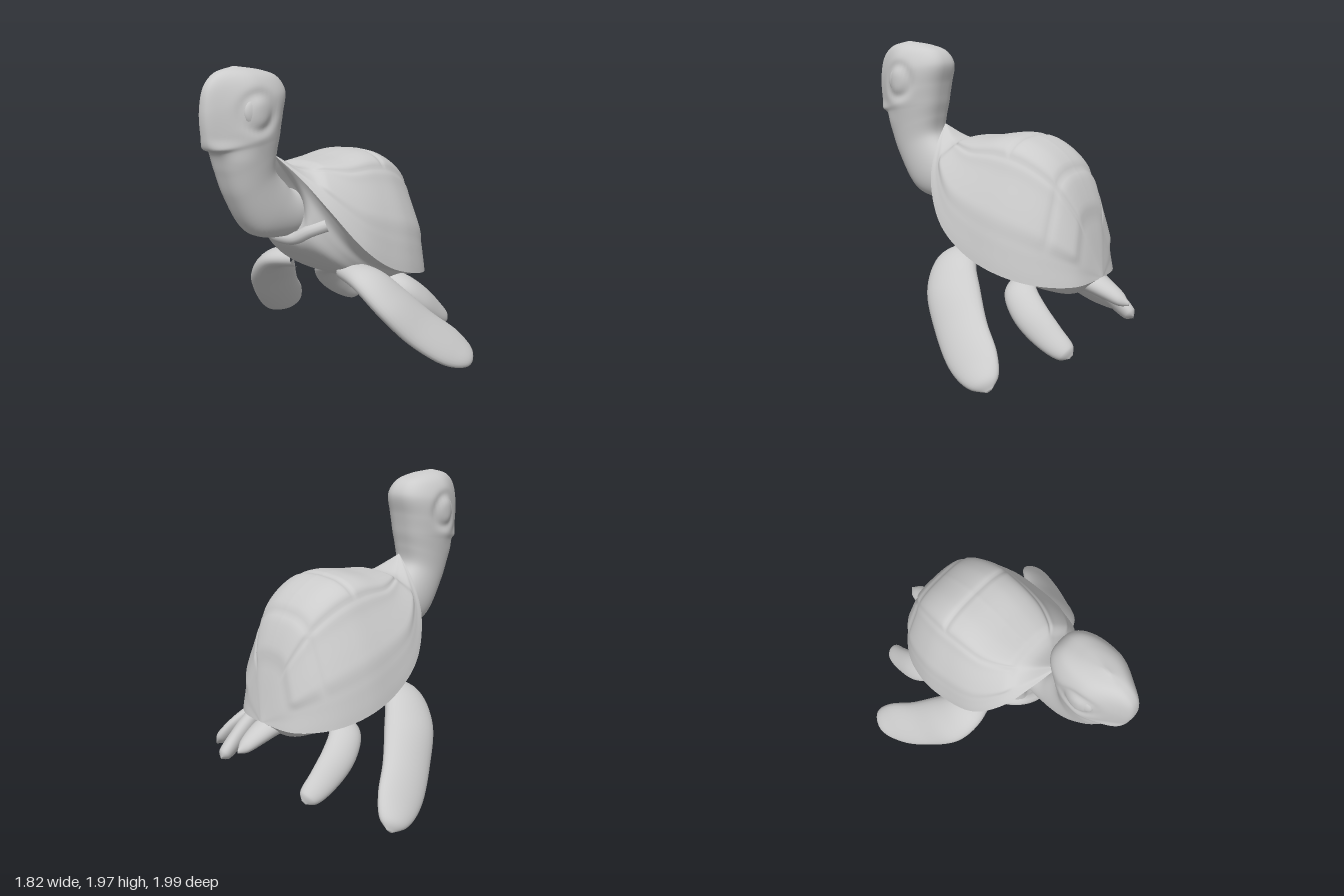
import * as THREE from 'three';
import { mergeVertices } from 'three/addons/utils/BufferGeometryUtils.js';

const material = new THREE.MeshStandardMaterial({ color: 0xcccccc });
const V = (p) => new THREE.Vector3(...p);
const curve = (points) => new THREE.CatmullRomCurve3(points.map(V));
const profile = (points) => new THREE.SplineCurve(points.map((p) => new THREE.Vector2(...p)));
const smooth = (x, a, b) => THREE.MathUtils.smoothstep(x, a, b);
const bump = (d, w) => Math.exp(-(d * d) / (w * w));

// Smooth surface over a grid of u, v in 0..1
function surface(nu, nv, fn) {
  const pos = [], index = [];
  for (let i = 0; i <= nu; i++) {
    for (let j = 0; j <= nv; j++) pos.push(...fn(i / nu, j / nv).toArray());
  }
  for (let i = 0; i < nu; i++) {
    for (let j = 0; j < nv; j++) {
      const a = i * (nv + 1) + j, b = a + nv + 1;
      index.push(a, b, a + 1, b, b + 1, a + 1);
    }
  }
  let geo = new THREE.BufferGeometry();
  geo.setAttribute('position', new THREE.Float32BufferAttribute(pos, 3));
  geo.setIndex(index);
  geo = mergeVertices(geo, 1e-4);
  geo.computeVertexNormals();
  return geo;
}

// Rounded form lofted between two edge curves, with half-thickness per section
function limb(edgeA, edgeB, halves, { power = 1, shape = (p) => p, nu = 40, nv = 28 } = {}) {
  const A = curve(edgeA), B = curve(edgeB);
  const H = curve(halves.map((h, i) => [h, i * 0.1, 0]));
  const mid = (u) => A.getPoint(u).add(B.getPoint(u)).multiplyScalar(0.5);
  return surface(nu, nv, (u, v) => {
    const e = A.getPoint(u).sub(B.getPoint(u)).multiplyScalar(0.5);
    const t = mid(Math.min(1, u + 0.01)).sub(mid(Math.max(0, u - 0.01)));
    const n = e.clone().cross(t).normalize();
    const th = (v % 1) * Math.PI * 2, s = Math.sin(th);
    const k = Math.sign(s) * Math.abs(s) ** power * Math.max(0, H.getPoint(u).x);
    return shape(mid(u).addScaledVector(e, Math.cos(th)).addScaledVector(n, k));
  });
}

// Half of the tilted shell rim, from front to back
const rim = curve([
  [0, 1.43, 0.44], [0.18, 1.29, 0.38], [0.35, 1.09, 0.29], [0.47, 0.85, 0.12], [0.505, 0.69, -0.1],
  [0.5, 0.6, -0.35], [0.42, 0.55, -0.58], [0.25, 0.53, -0.75], [0, 0.54, -0.81],
]);
const backLine = curve([
  [0, 1.43, 0.44], [0, 1.34, 0.28], [0, 1.35, 0.15], [0, 1.365, 0], [0, 1.395, -0.2],
  [0, 1.37, -0.37], [0, 1.24, -0.56], [0, 0.97, -0.7], [0, 0.54, -0.81],
]);
const bellyLine = curve([
  [0, 1.4, 0.42], [0, 1.1, 0.28], [0, 0.87, 0.35], [0, 0.72, 0.21], [0, 0.59, 0],
  [0, 0.52, -0.25], [0, 0.45, -0.5], [0, 0.43, -0.66], [0, 0.53, -0.8],
]);
// Half cross-sections: share of the rim width, share of the way to the centre line
const domeProfile = profile([[1, 0], [0.97, 0.24], [0.81, 0.5], [0.65, 0.72], [0.52, 0.9], [0.3, 0.98], [0, 1]]);
const bellyProfile = profile([[1, 0], [0.87, -0.02], [0.74, 0.08], [0.67, 0.4], [0.56, 0.8], [0.3, 0.97], [0, 1]]);

// Arch from the left rim over a centre line to the right rim
function arch(line, section, u, v) {
  const r = rim.getPoint(u), m = line.getPoint(u);
  const q = section.getPoint(1 - Math.abs(2 * v - 1));
  const x = r.x * q.x * (v < 0.5 ? 1 : -1);
  return new THREE.Vector3(x, r.y + (m.y - r.y) * q.y, r.z + (m.z - r.z) * q.y);
}

// Dome with raised plates and grooves between them
function shellPoint(u, v) {
  const p = arch(backLine, domeProfile, u, v);
  const side = 1 - Math.abs(2 * v - 1);
  const plate = smooth(side, 0.2, 0.3) * smooth(u, 0.17, 0.25) * (1 - smooth(u, 0.86, 0.9));
  const groove = Math.max(
    bump(side - 0.62, 0.03),
    bump(u - 0.56, 0.012) * smooth(side, 0.58, 0.64),
    bump(u - 0.77, 0.012),
  );
  const flange = bump(side - 0.14, 0.08) * Math.sin(Math.PI * u);
  const k = 1 + 0.035 * plate - 0.02 * plate * groove - 0.025 * flange;
  return p.sub(V([0, 0.85, -0.2])).multiplyScalar(k).add(V([0, 0.85, -0.2]));
}

// Head shaping: narrow beak and a shallow socket around each eye
function shapeHead(p) {
  const head = smooth(p.y, 1.42, 1.58);
  p.x *= 1 - 0.5 * head * smooth(p.z, 0.7, 1);
  const d = Math.hypot(p.y - 1.72, p.z - 0.71);
  p.x *= 1 - 0.09 * bump(d - 0.105, 0.035);
  return p;
}

export function createModel() {
  const model = new THREE.Group();
  const add = (name, geo) => {
    const mesh = new THREE.Mesh(geo, material);
    mesh.name = name;
    model.add(mesh);
    return mesh;
  };

  add('shell', surface(96, 96, shellPoint));
  add('belly', surface(64, 64, (u, v) => arch(bellyLine, bellyProfile, u, 1 - v)));

  // Lip of the body around the neck
  const lip = curve([
    [0.28, 0.99, 0.25], [0.2, 0.95, 0.32], [0.1, 0.895, 0.355], [0, 0.885, 0.36],
    [-0.1, 0.895, 0.355], [-0.2, 0.95, 0.32], [-0.28, 0.99, 0.25],
  ]);
  add('collar', new THREE.TubeGeometry(lip, 40, 0.042, 12));

  // Neck and head: throat edge, nape edge, half-widths
  add('neckAndHead', limb(
    [[0, 0.93, 0.15], [0, 0.905, 0.42], [0, 0.955, 0.64], [0, 1.2, 0.805], [0, 1.36, 0.865], [0, 1.48, 0.91],
      [0, 1.51, 0.97], [0, 1.6, 0.99], [0, 1.74, 0.995], [0, 1.87, 0.965], [0, 1.945, 0.89], [0, 1.985, 0.76]],
    [[0, 1.2, 0.15], [0, 1.21, 0.34], [0, 1.27, 0.41], [0, 1.36, 0.49], [0, 1.48, 0.48], [0, 1.57, 0.46],
      [0, 1.63, 0.45], [0, 1.71, 0.435], [0, 1.84, 0.41], [0, 1.92, 0.46], [0, 1.96, 0.57], [0, 1.985, 0.74]],
    [0.13, 0.14, 0.148, 0.152, 0.167, 0.182, 0.193, 0.2, 0.195, 0.155, 0.1, 0],
    { power: 0.7, shape: shapeHead, nu: 90, nv: 64 },
  ));

  // Tail: upper edge, lower edge, half-widths
  add('tail', limb(
    [[0, 0.6, -0.58], [0, 0.57, -0.74], [0, 0.53, -0.84], [0, 0.465, -0.94], [0, 0.405, -0.997]],
    [[0, 0.45, -0.56], [0, 0.44, -0.7], [0, 0.405, -0.84], [0, 0.38, -0.94], [0, 0.39, -0.995]],
    [0.13, 0.1, 0.08, 0.05, 0],
  ));

  for (const [side, label] of [[1, 'left'], [-1, 'right']]) {
    const flip = (points) => points.map(([x, y, z]) => [x * side, y, z]);

    // Flippers: leading edge, trailing edge, half-thicknesses
    add(label + 'FrontFlipper', limb(
      flip([[0.22, 0.64, 0.1], [0.44, 0.6, 0.16], [0.61, 0.45, 0.115], [0.735, 0.24, -0.045],
        [0.855, 0.07, -0.26], [0.9, 0.02, -0.43], [0.875, 0.02, -0.54]]),
      flip([[0.22, 0.65, -0.06], [0.41, 0.62, -0.12], [0.52, 0.5, -0.23], [0.64, 0.35, -0.365],
        [0.74, 0.22, -0.51], [0.81, 0.11, -0.57], [0.86, 0.04, -0.56]]),
      [0.06, 0.075, 0.08, 0.072, 0.06, 0.045, 0],
    ));
    add(label + 'RearFlipper', limb(
      flip([[0.22, 0.51, -0.3], [0.41, 0.45, -0.34], [0.48, 0.33, -0.45], [0.49, 0.21, -0.61],
        [0.47, 0.14, -0.77], [0.43, 0.145, -0.825]]),
      flip([[0.22, 0.54, -0.45], [0.31, 0.5, -0.51], [0.36, 0.42, -0.61], [0.38, 0.31, -0.73],
        [0.38, 0.21, -0.82], [0.41, 0.165, -0.835]]),
      [0.05, 0.06, 0.065, 0.058, 0.045, 0],
    ));

    const eye = add(label + 'Eye', new THREE.SphereGeometry(0.095, 28, 20));
    eye.position.set(side * 0.152, 1.72, 0.71);
    eye.scale.x = 0.38;
  }
  return model;
}
